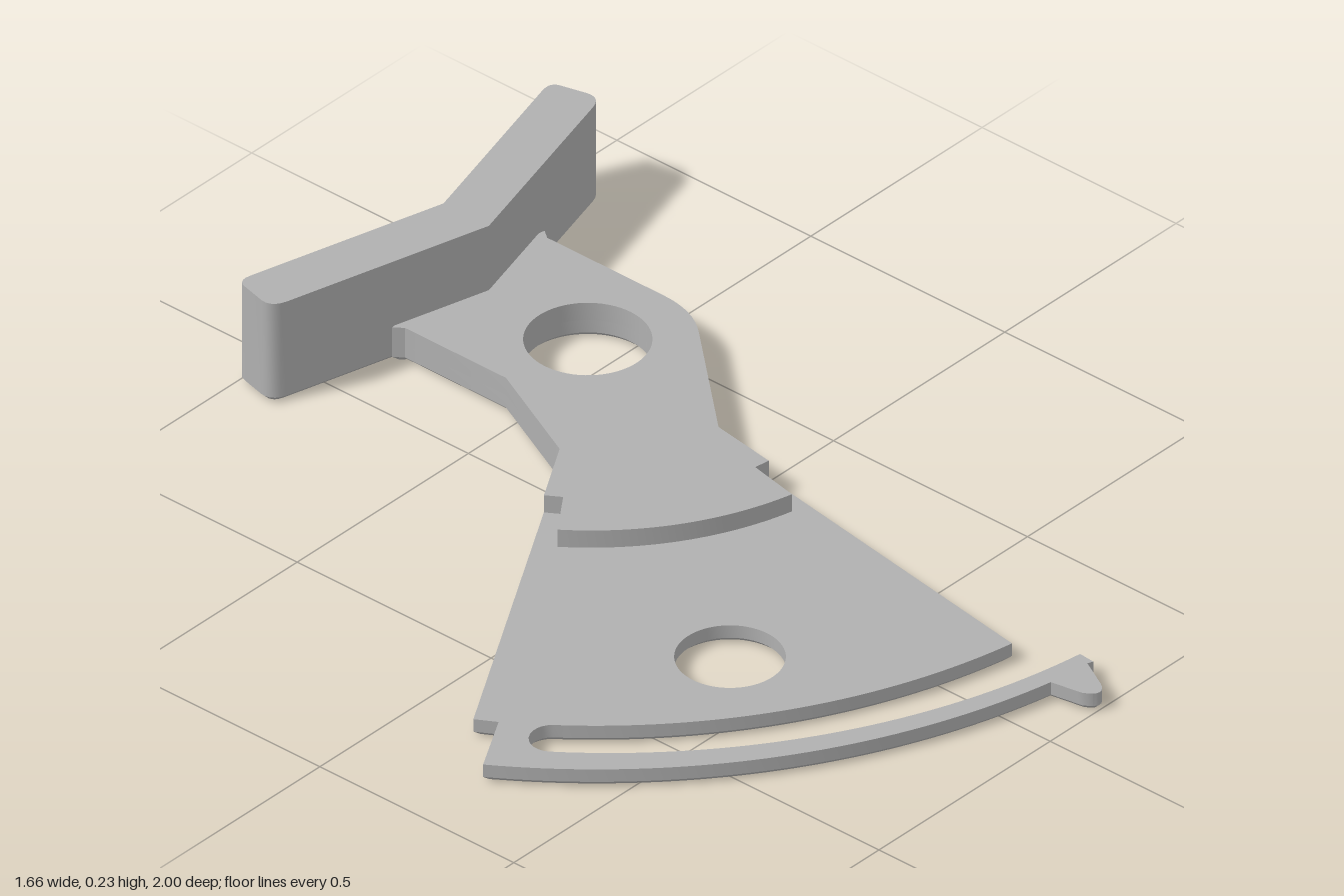
import * as THREE from 'three';
import { toCreasedNormals } from 'three/addons/utils/BufferGeometryUtils.js';

const HUB = [0.36, -0.51];   // pivot hole, centre of all the arcs
const CHAMFER = 0.011;

// Point [x, z] at an angle and radius around the pivot
const polar = (a, r) => [HUB[0] + r * Math.cos(a), HUB[1] + r * Math.sin(a)];

// Arc around the pivot, with the radius easing from r0 to r1
function arc(a0, a1, r0, r1, n = 40) {
  return Array.from({ length: n + 1 }, (_, i) => {
    const t = i / n;
    return polar(a0 + (a1 - a0) * t, r0 + (r1 - r0) * t);
  });
}

// Rounded corner from p to q bending towards c
function corner(p, c, q, n = 8) {
  const v = (k) => new THREE.Vector2(...k);
  return new THREE.QuadraticBezierCurve(v(p), v(c), v(q)).getPoints(n).map((k) => [k.x, k.y]);
}

function outline(points, holes = []) {
  const shape = new THREE.Shape(points.map(([x, z]) => new THREE.Vector2(x, -z)));
  for (const [x, z, r] of holes) {
    shape.holes.push(new THREE.Path().absarc(x, -z, r, 0, Math.PI * 2, true));
  }
  return shape;
}

function extrude(name, shape, y, options, material) {
  const geo = new THREE.ExtrudeGeometry(shape, { curveSegments: 32, bevelEnabled: false, ...options });
  geo.rotateX(-Math.PI / 2);
  geo.translate(0, y, 0);
  const mesh = new THREE.Mesh(toCreasedNormals(geo, 0.5), material);
  mesh.name = name;
  return mesh;
}

// Plate standing on y = 0 with only its lower edge chamfered
function chamferedPlate(name, shape, height, material) {
  const group = new THREE.Group();
  group.name = name;
  group.add(extrude(name + 'Body', shape, CHAMFER, { depth: height - CHAMFER }, material));
  group.add(extrude(name + 'Chamfer', shape, CHAMFER, {
    depth: 0, bevelEnabled: true, bevelSegments: 1,
    bevelThickness: CHAMFER, bevelSize: CHAMFER, bevelOffset: -CHAMFER,
  }, material));
  return group;
}

export function createModel() {
  const model = new THREE.Group();
  model.name = 'sectorLever';
  const grey = new THREE.MeshStandardMaterial({ color: 0xb0b0b0 });
  grey.name = 'grey';

  const bigHole = [...HUB, 0.125];
  const smallHole = [-0.235, 0.382, 0.108];

  // Neck edges shared by both plates
  const neckLeft = [[0.155, -0.8], [0.155, -0.54], [0.04, -0.3]];
  const neckRight = [
    [0.3, -0.12],
    ...corner([0.52, -0.365], [0.57, -0.42], [0.57, -0.5]),
    [0.57, -0.8], [0.585, -0.82], [0.36, -0.86], [0.14, -0.82],
  ];

  // Round end of the slot behind the spring strip
  const slotEnd = Array.from({ length: 11 }, (_, i) => {
    const t = (i + 1) / 12 * Math.PI;
    return polar(2.471 + 0.034 * Math.sin(t), 1.32 + 0.046 * Math.cos(t));
  });

  // Base plate: neck, sector, spring strip and its catch
  const base = outline([
    ...neckLeft,
    [-0.725, 0.153], [-0.7, 0.196],
    ...arc(2.561, 1.746, 1.423, 1.437),
    [0.12, 0.965],
    ...corner([0.122, 0.975], [0.145, 1.02], [0.17, 0.98]),
    [0.205, 0.915], [0.217, 0.92],
    ...arc(1.671, 2.471, 1.4, 1.366),
    ...slotEnd,
    ...arc(2.471, 1.727, 1.274, 1.286),
    ...neckRight,
  ], [bigHole, smallHole]);
  model.add(chamferedPlate('basePlate', base, 0.04, grey));

  // Raised arm ending in a stepped arc on the sector
  const raised = outline([
    ...neckLeft,
    [-0.1, -0.217], [-0.08, -0.185],
    ...arc(2.507, 1.783, 0.66, 0.665, 24),
    [0.243, 0.025], [0.277, 0.03],
    ...neckRight,
  ], [bigHole]);
  model.add(extrude('raisedArm', raised, 0.04, { depth: 0.04 }, grey));

  // Tall V-shaped push bar, mirrored about the pivot line
  const half = [
    [0.36, -0.765],
    ...corner([0.8, -0.885], [0.835, -0.895], [0.829, -0.925], 5),
    ...corner([0.815, -0.98], [0.81, -1.005], [0.78, -0.997], 5),
    [0.36, -0.882],
  ];
  const mirrored = half.slice(1, -1).reverse().map(([x, z]) => [0.706 - x, z]);
  model.add(chamferedPlate('pushBar', outline([...half, ...mirrored]), 0.23, grey));

  return model;
}
